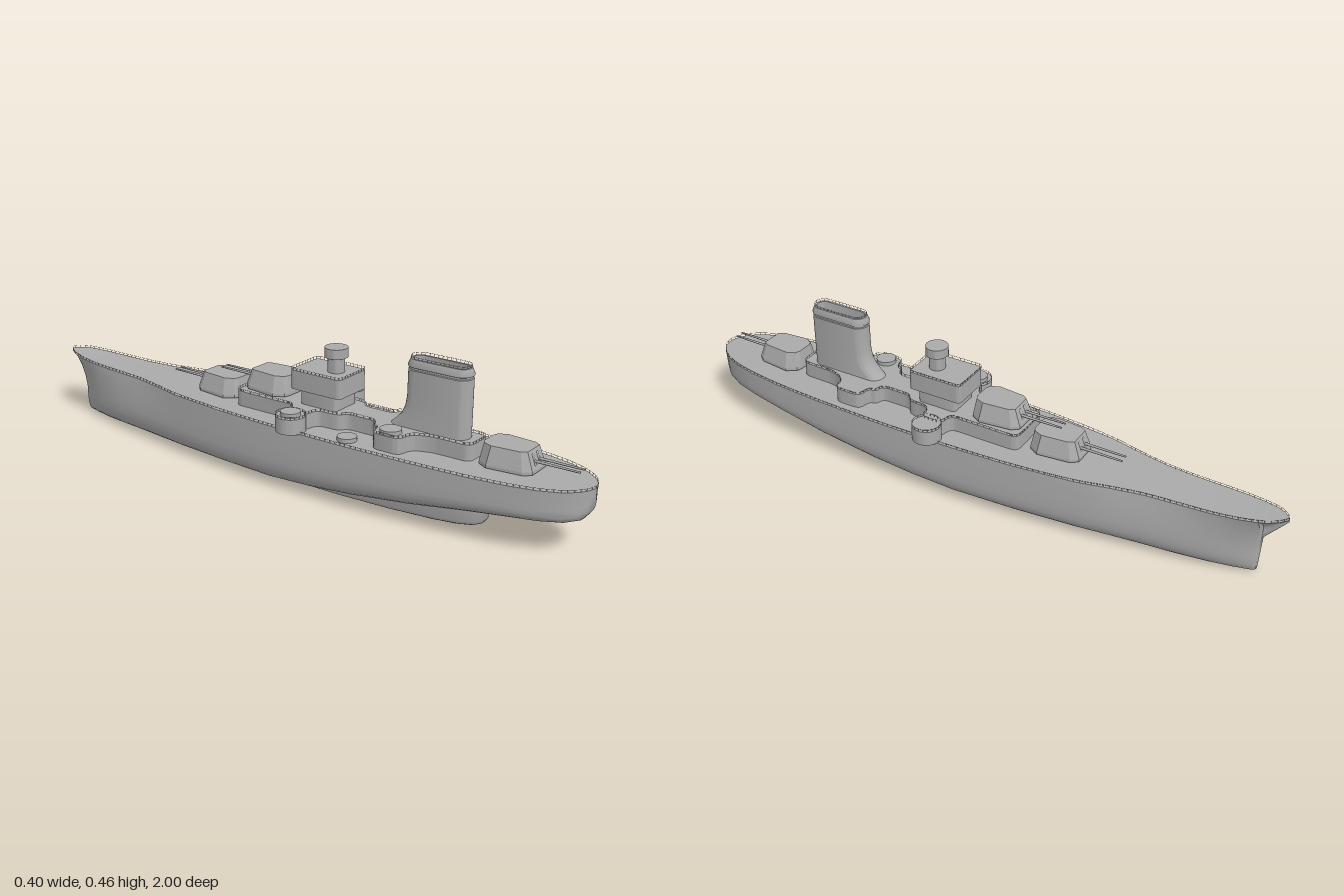
import * as THREE from 'three';
import { mergeGeometries, toCreasedNormals } from 'three/addons/utils/BufferGeometryUtils.js';

const grey = new THREE.MeshStandardMaterial({ color: 0xaaaaaa });
grey.name = 'hull grey';

function add(parent, geometry, name, x = 0, y = 0, z = 0) {
  const mesh = new THREE.Mesh(geometry, grey);
  mesh.name = name;
  mesh.position.set(x, y, z);
  parent.add(mesh);
  return mesh;
}

// Skin over closed rings of [x, y, z], capped at both ends
function loft(rings, crease = 0.6) {
  const n = rings[0].length, pos = [], idx = [];
  rings.forEach(r => r.forEach(p => pos.push(...p)));
  for (let i = 0; i < rings.length - 1; i++) {
    for (let j = 0; j < n; j++) {
      const k = (j + 1) % n, a = i * n + j, b = i * n + k;
      idx.push(a, b, b + n, a, b + n, a + n);
    }
  }
  [0, rings.length - 1].forEach((i, end) => {
    const c = pos.length / 3;
    for (let k = 0; k < 3; k++) pos.push(rings[i].reduce((s, p) => s + p[k], 0) / n);
    for (let j = 0; j < n; j++) {
      const a = i * n + j, b = i * n + (j + 1) % n;
      idx.push(c, end ? a : b, end ? b : a);
    }
  });
  const g = new THREE.BufferGeometry();
  g.setAttribute('position', new THREE.Float32BufferAttribute(pos, 3));
  g.setIndex(idx);
  return toCreasedNormals(g, crease);
}

// Plan outline [x, z], mirrored from its +x half
const mirror = half => [...half, ...half.slice().reverse().map(([x, z]) => [-x, z])];

// Plan shape with rounded corners
function roundedPlan(pts, r) {
  const s = new THREE.Shape(), v = pts.map(([x, z]) => new THREE.Vector2(x, -z));
  v.forEach((p, i) => {
    const a = v[(i + v.length - 1) % v.length], b = v[(i + 1) % v.length];
    const toward = q => p.clone().lerp(q, Math.min(0.48, r / p.distanceTo(q)));
    const p0 = toward(a), p1 = toward(b);
    if (i) s.lineTo(p0.x, p0.y); else s.moveTo(p0.x, p0.y);
    s.quadraticCurveTo(p.x, p.y, p1.x, p1.y);
  });
  s.closePath();
  return s;
}

function prism(shape, y0, y1) {
  const g = new THREE.ExtrudeGeometry(shape, { depth: y1 - y0, bevelEnabled: false, curveSegments: 6 });
  g.rotateX(-Math.PI / 2).translate(0, y0, 0);
  return toCreasedNormals(g, 0.6);
}

// Posts and a top wire following a closed path of Vector3
function railing(path, height = 0.0075, spacing = 0.014) {
  let length = 0;
  path.forEach((p, i) => { length += p.distanceTo(path[(i + 1) % path.length]); });
  const curve = new THREE.CatmullRomCurve3(path, true, 'centripetal');
  const n = Math.round(length / spacing), parts = [];
  curve.getSpacedPoints(n).slice(0, n).forEach(p => {
    parts.push(new THREE.BoxGeometry(0.001, height, 0.001).translate(p.x, p.y + height / 2, p.z));
  });
  parts.push(new THREE.TubeGeometry(curve, n * 2, 0.0006, 3, true).translate(0, height, 0));
  return mergeGeometries(parts);
}
const shapePath = (s, y) => s.getPoints(5).slice(0, -1).map(p => new THREE.Vector3(p.x, y, -p.y));

// Stadium ring around z0..z1 with half width w
function stadium(w, z0, z1, y) {
  const ring = [];
  for (let i = 0; i < 32; i++) {
    const a = ((i + 0.5) / 32) * Math.PI * 2, s = Math.sin(a);
    ring.push([w * Math.cos(a), y, s > 0 ? z0 + w - w * s : z1 - w - w * s]);
  }
  return ring;
}

// z, deck height, keel height, deck half width, widest half width
const stations = [
  [-1, 0.214, 0.205, 0.004, 0.002], [-0.98, 0.213, 0.18, 0.027, 0.006], [-0.955, 0.211, 0.15, 0.042, 0.008],
  [-0.935, 0.209, 0.125, 0.049, 0.009], [-0.93, 0.209, 0.006, 0.05, 0.012], [-0.92, 0.208, 0.002, 0.053, 0.022],
  [-0.87, 0.205, 0, 0.063, 0.045], [-0.8, 0.202, 0, 0.071, 0.068], [-0.7, 0.2, 0, 0.077, 0.088],
  [-0.6, 0.2, 0, 0.086, 0.102], [-0.5, 0.2, 0, 0.106, 0.118], [-0.4, 0.2, 0, 0.13, 0.134],
  [-0.2, 0.2, 0, 0.154, 0.157], [0, 0.2, 0, 0.165, 0.17], [0.15, 0.2, 0.008, 0.167, 0.172],
  [0.3, 0.2, 0.022, 0.167, 0.171], [0.5, 0.2, 0.047, 0.161, 0.164], [0.68, 0.2, 0.075, 0.149, 0.151],
  [0.8, 0.2, 0.087, 0.133, 0.133], [0.88, 0.2, 0.091, 0.114, 0.112], [0.94, 0.2, 0.096, 0.087, 0.084],
  [0.975, 0.2, 0.106, 0.058, 0.054], [0.992, 0.2, 0.128, 0.033, 0.029], [1, 0.2, 0.18, 0.008, 0.005]
];

function hullRing([z, top, keel, deck, wide]) {
  const side = [[deck, top, z]], h = top - keel;
  for (const f of [0.82, 0.64]) side.push([THREE.MathUtils.lerp(wide, deck, ((f - 0.45) / 0.55) ** 1.4), keel + h * f, z]);
  for (let i = 0; i < 9; i++) {
    const a = (i / 9) * Math.PI / 2;
    side.push([wide * Math.cos(a) ** 0.7, keel + h * 0.45 * (1 - Math.sin(a) ** 0.7), z]);
  }
  const left = side.map(([x, y]) => [-x, y, z]);
  return [[0, top, z], ...left, [0, keel, z], ...side.reverse()];
}

// Twin gun turret facing +z, standing on its own y = 0
function turret(name) {
  const g = new THREE.Group();
  g.name = name;
  const ring = (half, y) => mirror(half).map(([x, z]) => [x, y, z]);
  const base = [[0.04, 0.082], [0.058, 0.06], [0.07, -0.045], [0.05, -0.077], [0.03, -0.083]];
  const roof = [[0.035, 0.062], [0.046, 0.046], [0.054, -0.04], [0.042, -0.068], [0.026, -0.075]];
  add(g, loft([ring(base, 0.005), ring(base, 0.014), ring(roof, 0.067)], 0.1), 'gunHouse');
  add(g, new THREE.CylinderGeometry(0.05, 0.05, 0.008, 32), 'turretRing', 0, 0.003);
  for (const x of [-0.013, 0.013]) {
    const slot = add(g, new THREE.CapsuleGeometry(0.0055, 0.026, 3, 10), 'gunPort', x, 0.04, 0.0715);
    slot.scale.z = 0.5;
    slot.rotation.x = -0.36;
    add(g, new THREE.CylinderGeometry(0.0028, 0.0045, 0.15, 10).rotateX(Math.PI / 2), 'gunBarrel', x, 0.037, 0.133);
  }
  return g;
}

export function createModel() {
  const ship = new THREE.Group();
  ship.name = 'warship';

  // Hull, keel block and deck rail
  add(ship, loft(stations.map(hullRing), 0.7), 'hull');
  const keel = [[0.012, 0.68], [0.035, 0.667], [0.055, 0.63], [0.072, 0.56], [0.09, 0.42], [0.1, 0.25], [0.1, 0.1], [0.08, -0.1], [0.02, -0.2]];
  const keelRing = (y, k) => mirror(keel.map(([x, z]) => [x * k, z - (1 - k) * 0.15])).map(([x, z]) => [x, y, z]);
  add(ship, loft([keelRing(0.001, 0.86), keelRing(0.006, 0.95), keelRing(0.016, 1), keelRing(0.095, 1)], 0.9), 'keelBlock');
  const edge = stations.map(([z, y, , d]) => [d - 0.002, y, z]);
  const deckPath = [...edge, ...edge.slice().reverse().map(([x, y, z]) => [-x, y, z])];
  add(ship, railing(deckPath.map(p => new THREE.Vector3(...p)), 0.007, 0.018), 'deckRail');

  // Long deckhouse
  const house = roundedPlan(mirror([
    [0.05, 0.645], [0.052, 0.52], [0.075, 0.465], [0.128, 0.46], [0.128, 0.365], [0.08, 0.36], [0.078, 0.335],
    [0.045, 0.33], [0.045, 0.225], [0.072, 0.21], [0.075, 0.135], [0.13, 0.13], [0.13, 0.06], [0.08, 0.055], [0.08, -0.18]
  ]), 0.025);
  add(ship, prism(house, 0.195, 0.248), 'deckhouse');
  add(ship, railing(shapePath(house, 0.248)), 'deckhouseRail');

  // Round side platforms
  for (const s of [-1, 1]) {
    add(ship, new THREE.CylinderGeometry(0.046, 0.046, 0.048, 32), 'sidePlatform', s * 0.154, 0.224, 0.095);
    const path = [];
    for (let i = 0; i < 16; i++) {
      const a = (i / 16) * Math.PI * 2;
      path.push(new THREE.Vector3(s * 0.154 + 0.045 * Math.cos(a), 0.248, 0.095 + 0.045 * Math.sin(a)));
    }
    add(ship, railing(path), 'sidePlatformRail');
  }

  // Small round mounts on the right side
  for (const [x, y, z, r] of [[-0.154, 0.248, 0.095, 0.031], [-0.118, 0.2, 0.275, 0.03], [-0.094, 0.248, 0.41, 0.032]]) {
    add(ship, new THREE.CylinderGeometry(r, r, 0.013, 28), 'roundMount', x, y + 0.0065, z);
  }

  // Bridge tower
  const box = (w, z0, z1) => roundedPlan(mirror([[w, z1], [w, z0]]), 0.014);
  add(ship, prism(box(0.056, 0.055, 0.188), 0.24, 0.3), 'bridgeBase');
  const bridge = box(0.07, 0.028, 0.212);
  add(ship, prism(bridge, 0.295, 0.355), 'bridge');
  add(ship, railing(shapePath(bridge, 0.355)), 'bridgeRail');
  const mast = [[0, 0.35], [0.026, 0.35], [0.026, 0.398], [0.036, 0.402], [0.036, 0.432], [0, 0.432]];
  const mastGeometry = new THREE.LatheGeometry(mast.map(p => new THREE.Vector2(...p)), 32);
  add(ship, toCreasedNormals(mastGeometry, 0.6), 'lookoutTower', 0, 0, 0.15);

  // Funnel with a flared foot, band and hollow top
  const profile = [
    [0.036, 0.35, 0.615, 0.24], [0.036, 0.372, 0.615, 0.262], [0.036, 0.392, 0.615, 0.283], [0.036, 0.404, 0.615, 0.31],
    [0.036, 0.409, 0.615, 0.34], [0.036, 0.41, 0.615, 0.424], [0.033, 0.413, 0.612, 0.426], [0.033, 0.413, 0.612, 0.431],
    [0.037, 0.409, 0.616, 0.433], [0.037, 0.409, 0.616, 0.438], [0.03, 0.416, 0.609, 0.455],
    [0.023, 0.423, 0.602, 0.455], [0.023, 0.423, 0.602, 0.41]
  ];
  add(ship, loft(profile.map(p => stadium(...p))), 'funnel');
  const rim = stadium(0.029, 0.417, 0.608, 0.455).map(p => new THREE.Vector3(...p));
  add(ship, railing(rim), 'funnelRail');

  // Main turrets: two facing the bow, one the stern
  for (const [name, y, z, turn] of [
    ['foreTurret', 0.2, -0.287, Math.PI], ['raisedTurret', 0.248, -0.085, Math.PI], ['aftTurret', 0.2, 0.75, 0]
  ]) {
    const t = turret(name);
    t.position.set(0, y, z);
    t.rotation.y = turn;
    ship.add(t);
  }
  return ship;
}
